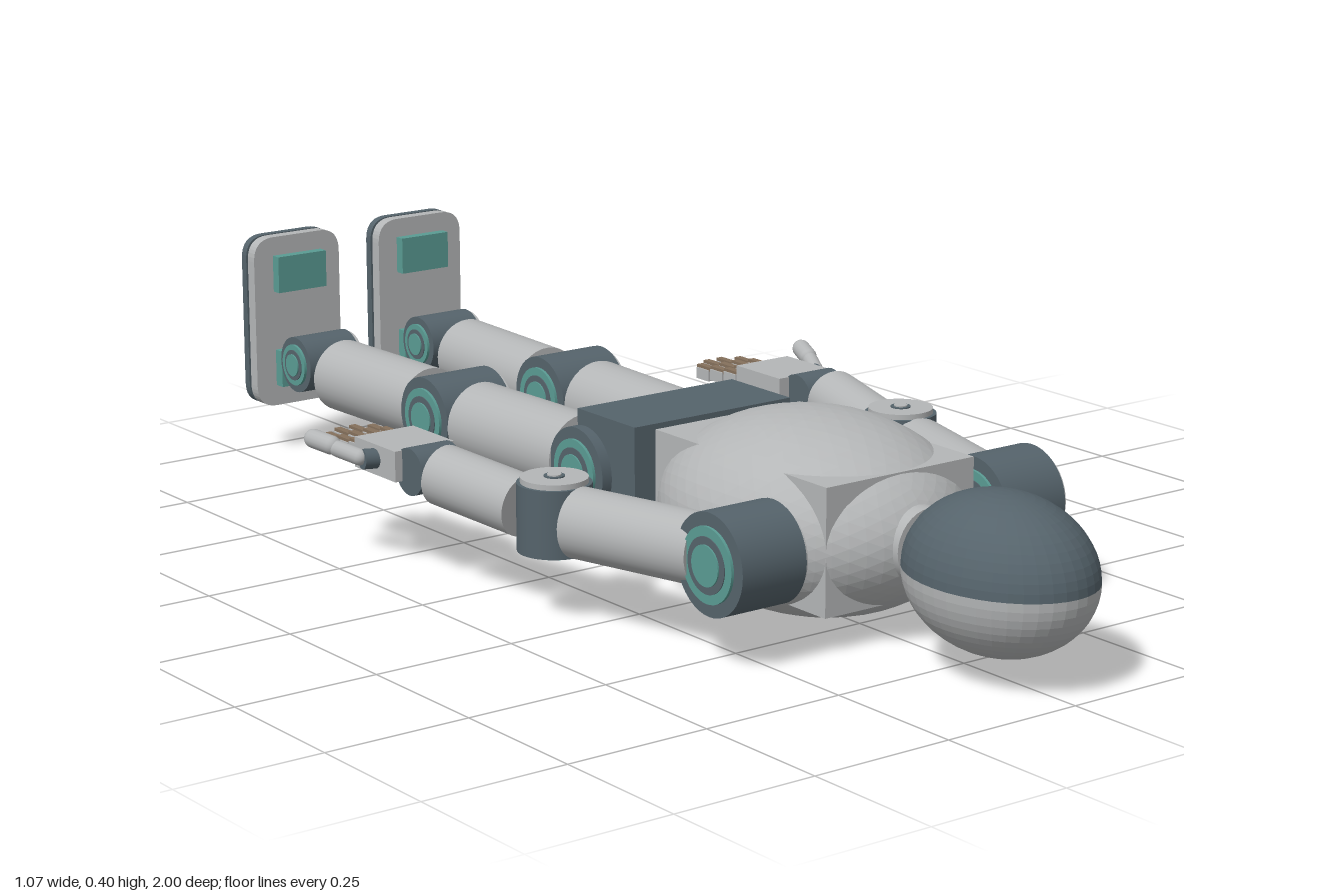
import * as THREE from 'three';

const mat = (name, color) => {
  const m = new THREE.MeshStandardMaterial({ color });
  m.name = name;
  return m;
};

export function createModel() {
  const light = mat('light grey', 0xb4b6b7);
  const dark = mat('slate', 0x55636b);
  const teal = mat('teal', 0x5a9b93);
  const brown = mat('brown', 0x85705c);
  const model = new THREE.Group();
  model.name = 'lyingRobot';
  const Y = 0.166;

  const add = (parent, name, geo, material, x = 0, y = 0, z = 0) => {
    const m = new THREE.Mesh(geo, material);
    m.name = name;
    m.position.set(x, y, z);
    parent.add(m);
    return m;
  };
  const box = (parent, name, material, w, h, d, x, y, z) =>
    add(parent, name, new THREE.BoxGeometry(w, h, d), material, x, y, z);
  // Solid rod between two points, optionally with round ends
  const rod = (parent, name, material, a, b, r, round = false) => {
    const p = new THREE.Vector3(...a), q = new THREE.Vector3(...b);
    const len = p.distanceTo(q);
    const geo = round ? new THREE.CapsuleGeometry(r, len, 6, 16) : new THREE.CylinderGeometry(r, r, len, 32);
    const m = add(parent, name, geo, material);
    m.position.copy(p).add(q).multiplyScalar(0.5);
    m.quaternion.setFromUnitVectors(new THREE.Vector3(0, 1, 0), q.sub(p).normalize());
    return m;
  };
  const facet = (geo) => {
    const g = geo.index ? geo.toNonIndexed() : geo;
    g.computeVertexNormals();
    return g;
  };

  // Motor joint: axis along local y, light cap on top, teal rotor underneath
  const joint = (name, x, y, z, r, len, vertical = false) => {
    const g = new THREE.Group();
    g.name = name;
    g.position.set(x, y, z);
    if (!vertical) g.rotation.z = -Math.PI / 2;
    const disc = (n, m, rad, h, py) => add(g, n, new THREE.CylinderGeometry(rad, rad, h, 40), m, 0, py, 0);
    disc('housing', dark, r, len, 0);
    disc('cap', light, r * 0.9, 0.009, len / 2 + 0.0045);
    disc('hubRing', dark, r * 0.28, 0.003, len / 2 + 0.0095);
    disc('hub', light, r * 0.19, 0.003, len / 2 + 0.0115);
    disc('rotor', teal, r * 0.74, 0.005, -len / 2 - 0.0025);
    disc('rotorRing', dark, r * 0.55, 0.005, -len / 2 - 0.004);
    disc('rotorHub', teal, r * 0.4, 0.006, -len / 2 - 0.006);
    model.add(g);
  };

  // Head: dark upper half, light lower half
  [[0, dark, 'headUpper'], [Math.PI / 2, light, 'headLower']].forEach(([t, m, name]) => {
    const geo = new THREE.SphereGeometry(1, 40, 14, 0, Math.PI * 2, t, Math.PI / 2);
    add(model, name, facet(geo.scale(0.134, 0.128, 0.172)), m, 0, 0.165, 0.828);
  });
  rod(model, 'neck', light, [0, Y, 0.56], [0, Y, 0.662], 0.062);

  // Torso: egg shell with an inner block whose corners poke out
  add(model, 'torso', facet(new THREE.IcosahedronGeometry(1, 9).scale(0.234, 0.163, 0.278)), light, 0, 0.163, 0.383);
  box(model, 'torsoFrame', light, 0.3, 0.21, 0.435, 0, 0.166, 0.378);
  box(model, 'pelvis', dark, 0.324, 0.198, 0.158, 0, 0.168, 0.041);

  // Foot plate outline
  const w = 0.091, lo = 0.085, hi = 0.402, c = 0.042;
  const sole = new THREE.Shape();
  sole.moveTo(-w + c, lo);
  sole.lineTo(w - c, lo).quadraticCurveTo(w, lo, w, lo + c);
  sole.lineTo(w, hi - c).quadraticCurveTo(w, hi, w - c, hi);
  sole.lineTo(-w + c, hi).quadraticCurveTo(-w, hi, -w, hi - c);
  sole.lineTo(-w, lo + c).quadraticCurveTo(-w, lo, -w + c, lo);
  const plate = (depth) => new THREE.ExtrudeGeometry(sole, { depth, bevelEnabled: false, curveSegments: 10 });

  for (const s of [-1, 1]) {
    const side = s > 0 ? 'left' : 'right';

    // Arm
    joint(side + 'Shoulder', s * 0.267, Y, 0.534, 0.083, 0.124);
    rod(model, side + 'UpperArm', light, [s * 0.352, Y, 0.23], [s * 0.285, Y, 0.47], 0.058);
    joint(side + 'Elbow', s * 0.36, Y, 0.173, 0.061, 0.112, true);
    rod(model, side + 'Forearm', light, [s * 0.376, 0.17, 0.11], [s * 0.411, 0.188, -0.067], 0.051);

    // Hand
    const hand = new THREE.Group();
    hand.name = side + 'Hand';
    model.add(hand);
    rod(hand, 'wrist', dark, [s * 0.366, 0.188, -0.115], [s * 0.446, 0.188, -0.115], 0.04);
    box(hand, 'palm', light, 0.116, 0.052, 0.122, s * 0.402, 0.194, -0.196);
    [0.353, 0.38, 0.409, 0.439].forEach((x, i) => {
      const len = i % 3 ? 0.134 : 0.118;
      for (let k = 0; k < 3; k++) {
        const seg = len / 3, z = -0.257 - seg * (k + 0.5);
        box(hand, 'fingerSegment', light, 0.019, 0.02, seg - 0.005, s * x, 0.192 - k * 0.004, z);
        box(hand, 'fingerTendon', brown, 0.013, 0.008, seg, s * x, 0.203 - k * 0.004, z);
      }
    });
    rod(hand, 'thumbBase', dark, [s * 0.45, 0.195, -0.195], [s * 0.482, 0.197, -0.2], 0.017);
    rod(hand, 'thumbLower', light, [s * 0.484, 0.2, -0.205], [s * 0.502, 0.209, -0.243], 0.014, true);
    rod(hand, 'thumbUpper', light, [s * 0.506, 0.213, -0.255], [s * 0.519, 0.219, -0.29], 0.016, true);

    // Leg
    joint(side + 'Hip', s * 0.114, Y, -0.018, 0.075, 0.134);
    rod(model, side + 'Thigh', light, [s * 0.114, Y, -0.092], [s * 0.126, Y, -0.377], 0.071);
    joint(side + 'Knee', s * 0.123, Y, -0.455, 0.073, 0.136);
    rod(model, side + 'Shin', light, [s * 0.126, Y, -0.532], [s * 0.136, Y, -0.803], 0.065);
    joint(side + 'Ankle', s * 0.134, 0.177, -0.883, 0.051, 0.108);

    // Foot standing upright, sole facing back
    const foot = new THREE.Group();
    foot.name = side + 'Foot';
    foot.position.x = s * 0.135;
    model.add(foot);
    add(foot, 'footPlate', plate(0.022), light, 0, 0, -0.979);
    add(foot, 'solePlate', plate(0.015), dark, 0, 0, -1);
    box(foot, 'soleSpacer', dark, 0.14, 0.27, 0.01, 0, 0.243, -0.982);
    box(foot, 'toePad', teal, 0.102, 0.067, 0.02, 0, 0.334, -0.948);
    box(foot, 'heelPad', teal, 0.1, 0.067, 0.022, 0, 0.157, -0.947);
  }
  return model;
}
